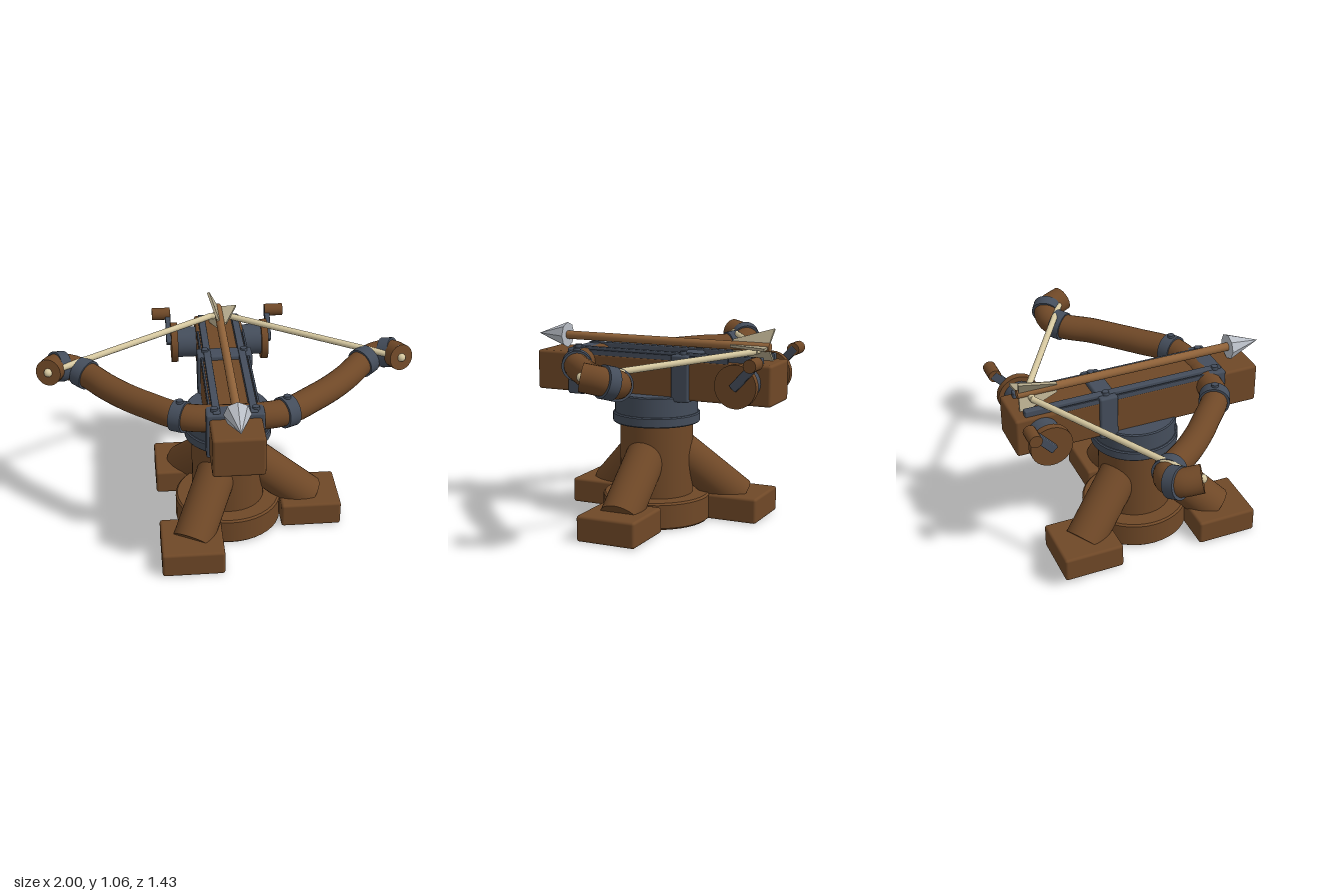
import * as THREE from 'three';
import { RoundedBoxGeometry } from 'three/addons/geometries/RoundedBoxGeometry.js';

const material = (name, color) => Object.assign(new THREE.MeshStandardMaterial({ color }), { name });
const V = (x, y, z) => new THREE.Vector3(x, y, z);
const UP = V(0, 1, 0);

export function createModel() {
  const wood = material('wood', 0x6f4827);
  const iron = material('iron', 0x444d5b);
  const shaftWood = material('shaft wood', 0x8f6239);
  const cord = material('cord', 0xd6c8a0);
  const feather = material('feather', 0xb0a588);
  const steel = material('steel', 0xb8bdc5);

  const model = new THREE.Group();
  model.name = 'ballista';

  const add = (name, geometry, mat, parent = model) => {
    const mesh = new THREE.Mesh(geometry, mat);
    mesh.name = name;
    parent.add(mesh);
    return mesh;
  };
  const box = (name, mat, w, h, d, x, y, z, r = 0.015) => {
    const mesh = add(name, new RoundedBoxGeometry(w, h, d, 2, r), mat);
    mesh.position.set(x, y, z);
    return mesh;
  };
  // Cylinder between two points
  const rod = (name, mat, a, b, r, r2 = r, sides = 32) => {
    const mesh = add(name, new THREE.CylinderGeometry(r2, r, a.distanceTo(b), sides), mat);
    mesh.position.copy(a).lerp(b, 0.5);
    mesh.quaternion.setFromUnitVectors(UP, b.clone().sub(a).normalize());
    return mesh;
  };
  // Lathed disc with softened rims
  const disc = (name, mat, r, y0, y1, bevel) => {
    const profile = [[0, y0], [r - bevel, y0], [r - bevel, y0], [r, y0 + bevel], [r, y0 + bevel],
      [r, y1 - bevel], [r, y1 - bevel], [r - bevel, y1], [r - bevel, y1], [0, y1]];
    const mesh = add(name, new THREE.LatheGeometry(profile.map(p => new THREE.Vector2(...p)), 40), mat);
    mesh.position.z = -0.007;
    return mesh;
  };

  // Pedestal: base, post, and swivel rings
  disc('baseDisc', wood, 0.29, 0, 0.145, 0.01);
  disc('post', wood, 0.197, 0.12, 0.56, 0.005);
  disc('lowerSwivelRing', iron, 0.235, 0.535, 0.59, 0.006);
  disc('upperSwivelRing', iron, 0.224, 0.58, 0.695, 0.006);

  // Three struts with square feet
  for (let i = 0; i < 3; i++) {
    const a = i * Math.PI * 2 / 3, c = Math.cos(a), s = Math.sin(a);
    const at = (r, y) => V(c * r, y, s * r - 0.007);
    rod('strut', wood, at(0.445, 0.1), at(0.08, 0.405), 0.108);
    box('foot', wood, 0.33, 0.138, 0.33, c * 0.45, 0.069, s * 0.45 - 0.007);
  }

  // Stock with iron collars and guide rails
  box('stock', wood, 0.265, 0.215, 1.355, 0, 0.7875, -0.027);
  for (const [z, d] of [[0.407, 0.1], [-0.205, 0.1]]) {
    box('collar', iron, 0.296, 0.25, d, 0, 0.795, z, 0.012);
  }
  for (const side of [-1, 1]) {
    box('rail', iron, 0.038, 0.045, 1.09, side * 0.094, 0.905, -0.1, 0.006);
    box('outerRail', iron, 0.012, 0.03, 0.9, side * 0.125, 0.9, -0.02, 0.004);
    for (const z of [0.41, -0.21]) {
      rod('bolt', iron, V(side * 0.104, 0.9, z), V(side * 0.104, 0.937, z), 0.022, 0.018, 12);
    }
  }

  // Bow limbs, mirrored, with bands and cord
  const nock = 0.045;
  for (const side of [-1, 1]) {
    const curve = new THREE.CatmullRomCurve3([
      [0, 0.85, 0.375], [0.25, 0.85, 0.34], [0.43, 0.845, 0.2], [0.54, 0.845, 0.1], [0.635, 0.85, 0],
      [0.74, 0.855, -0.135], [0.82, 0.872, -0.185], [0.895, 0.893, -0.165], [0.937, 0.915, -0.062],
    ].map(([x, y, z]) => V(side * x, y, z)));
    add('bowLimb', new THREE.TubeGeometry(curve, 60, 0.07, 24), wood);

    const tip = curve.getPointAt(1);
    const tipDir = curve.getTangentAt(1);
    const cap = add('limbCap', new THREE.CircleGeometry(0.07, 24), wood);
    cap.position.copy(tip);
    cap.quaternion.setFromUnitVectors(V(0, 0, 1), tipDir);

    // Bands are placed where the limb reaches a given distance from the middle
    for (const [x, width] of [[0.27, 0.065], [0.752, 0.065], [0.885, 0.06]]) {
      let u = 0;
      while (u < 1 && Math.abs(curve.getPointAt(u).x) < x) u += 0.002;
      const p = curve.getPointAt(u);
      const t = curve.getTangentAt(u).multiplyScalar(width / 2);
      rod('limbBand', iron, p.clone().sub(t), p.clone().add(t), 0.081);
      if (x < 0.3) rod('bandBolt', iron, p.clone().setY(0.9), p.clone().setY(0.942), 0.022, 0.018, 12);
    }

    rod('bowCord', cord, tip, V(side * nock, 0.948, -0.58), 0.017, 0.017, 12);
    const knot = add('cordKnot', new THREE.SphereGeometry(0.023, 12, 8), cord);
    knot.position.copy(tip);
  }
  rod('cordMiddle', cord, V(-nock, 0.948, -0.58), V(nock, 0.948, -0.58), 0.017, 0.017, 12);

  // Loaded bolt with faceted head
  const arrowY = 0.968;
  rod('arrowShaft', shaftWood, V(0, arrowY, -0.65), V(0, arrowY, 0.56), 0.023, 0.023, 16);
  const headGeometry = new THREE.ConeGeometry(0.07, 0.18, 8).toNonIndexed();
  headGeometry.computeVertexNormals();
  const head = add('arrowHead', headGeometry, steel);
  head.position.set(0, arrowY, 0.625);
  head.rotation.x = Math.PI / 2;

  // Three feather fins around the shaft
  const finShape = new THREE.Shape([[0.44, 0.015], [0.44, 0.032], [0.655, 0.105], [0.642, 0.015]]
    .map(p => new THREE.Vector2(...p)));
  for (let i = 0; i < 3; i++) {
    const pivot = new THREE.Group();
    pivot.name = 'fletching';
    pivot.position.y = arrowY;
    pivot.rotation.z = Math.PI / 6 + i * Math.PI * 2 / 3;
    model.add(pivot);
    const geometry = new THREE.ExtrudeGeometry(finShape, { depth: 0.014, bevelEnabled: false });
    geometry.translate(0, 0, -0.007);
    add('fin', geometry, feather, pivot).rotation.y = Math.PI / 2;
  }

  // Rear winch: drum, wooden cheeks, cranks and handles
  const wy = 0.8, wz = -0.565;
  rod('winchDrum', iron, V(-0.245, wy, wz), V(0.245, wy, wz), 0.085);
  for (const side of [-1, 1]) {
    rod('winchCheek', wood, V(side * 0.235, wy, wz), V(side * 0.272, wy, wz), 0.112);
    const arm = box('crankArm', iron, 0.03, 0.19, 0.045, side * 0.283, 0.862, -0.622, 0.005);
    arm.rotation.x = -Math.atan2(0.115, 0.125);
    rod('crankHandle', wood, V(side * 0.27, 0.925, -0.678), V(side * 0.372, 0.925, -0.678), 0.034, 0.034, 16);
  }

  return model;
}
